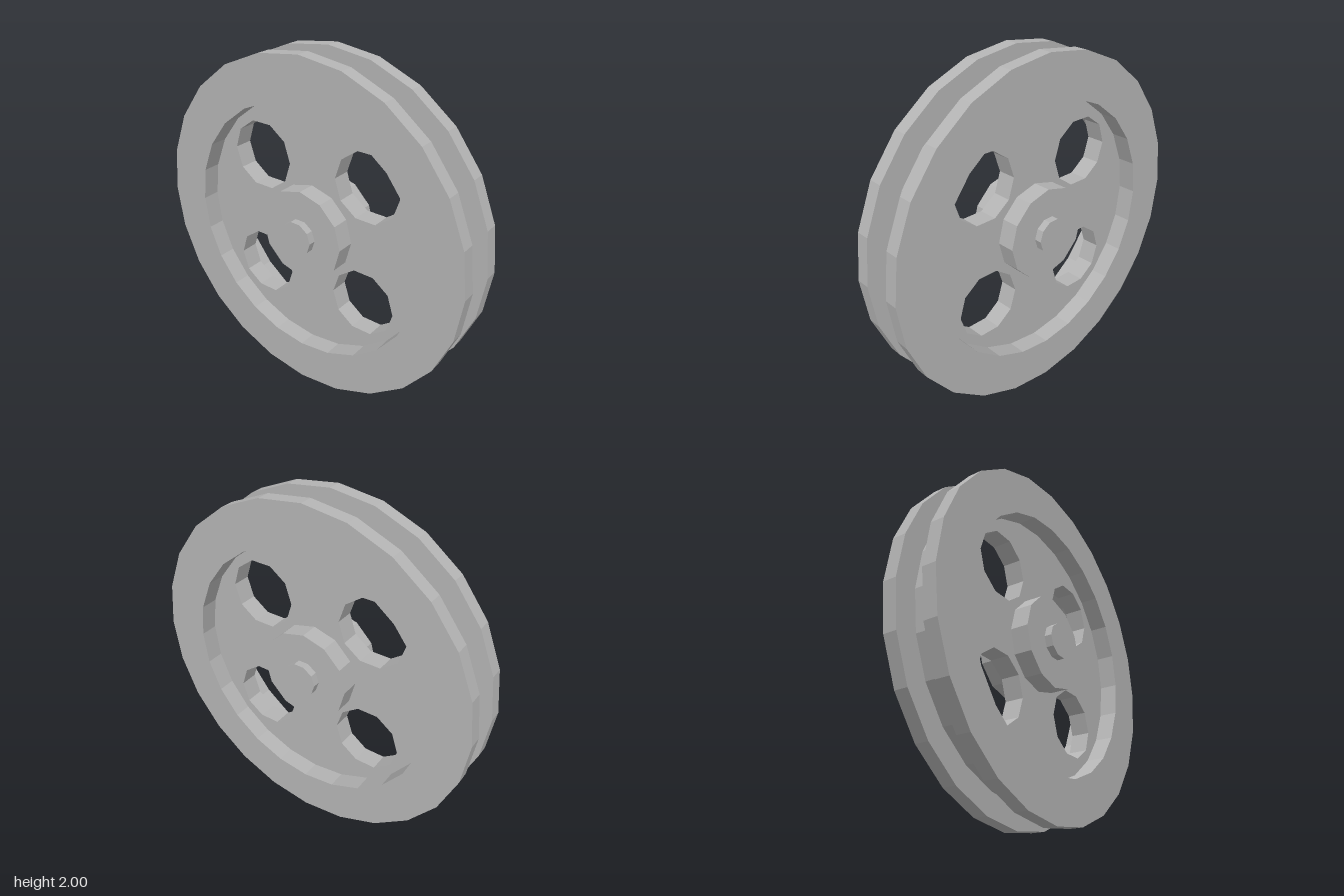
import * as THREE from 'three';

const gray = new THREE.MeshStandardMaterial({ color: 0xb4b4b4, flatShading: true });
gray.name = 'gray metal';

const SIDES = 24;
const WEB = 0.055; // half thickness of the recessed web
const INNER = 0.75; // radius of the recess

// Regular polygon with a corner on the +x axis
function polygon(radius, sides, cx = 0, cy = 0) {
  return Array.from({ length: sides }, (_, i) => {
    const a = (i / sides) * Math.PI * 2;
    return new THREE.Vector2(cx + radius * Math.cos(a), cy + radius * Math.sin(a));
  });
}

export function createModel() {
  const wheel = new THREE.Group();
  wheel.name = 'grooved wheel';

  function add(name, geometry) {
    const mesh = new THREE.Mesh(geometry, gray);
    mesh.name = name;
    mesh.position.y = 1;
    wheel.add(mesh);
  }

  // Rim: two flanges with a groove between, open where it meets the web
  const profile = [
    [INNER, -WEB], [INNER, -0.16], [1, -0.16], [1, -0.08], [0.87, -0.08],
    [0.87, 0.08], [1, 0.08], [1, 0.16], [INNER, 0.16], [INNER, WEB],
  ].map(([r, z]) => new THREE.Vector2(r, z));
  add('rim', new THREE.LatheGeometry(profile, SIDES).rotateX(Math.PI / 2));

  // Web: thin disc with four ten-sided holes
  const disc = new THREE.Shape(polygon(INNER, SIDES));
  const offset = 0.5 * Math.SQRT1_2;
  for (const sx of [-1, 1]) {
    for (const sy of [-1, 1]) {
      disc.holes.push(new THREE.Path(polygon(0.2, 10, sx * offset, sy * offset)));
    }
  }
  const web = new THREE.ExtrudeGeometry(disc, { depth: 2 * WEB, bevelEnabled: false });
  add('web', web.translate(0, 0, -WEB));

  // Hub, flush with the flanges, and the axle that sticks out of it
  const rod = (radius, length, sides) =>
    new THREE.CylinderGeometry(radius, radius, length, sides, 1, false, Math.PI / 2).rotateX(Math.PI / 2);
  add('hub', rod(0.268, 0.32, 12));
  add('axle', rod(0.1, 0.405, 10));

  return wheel;
}
